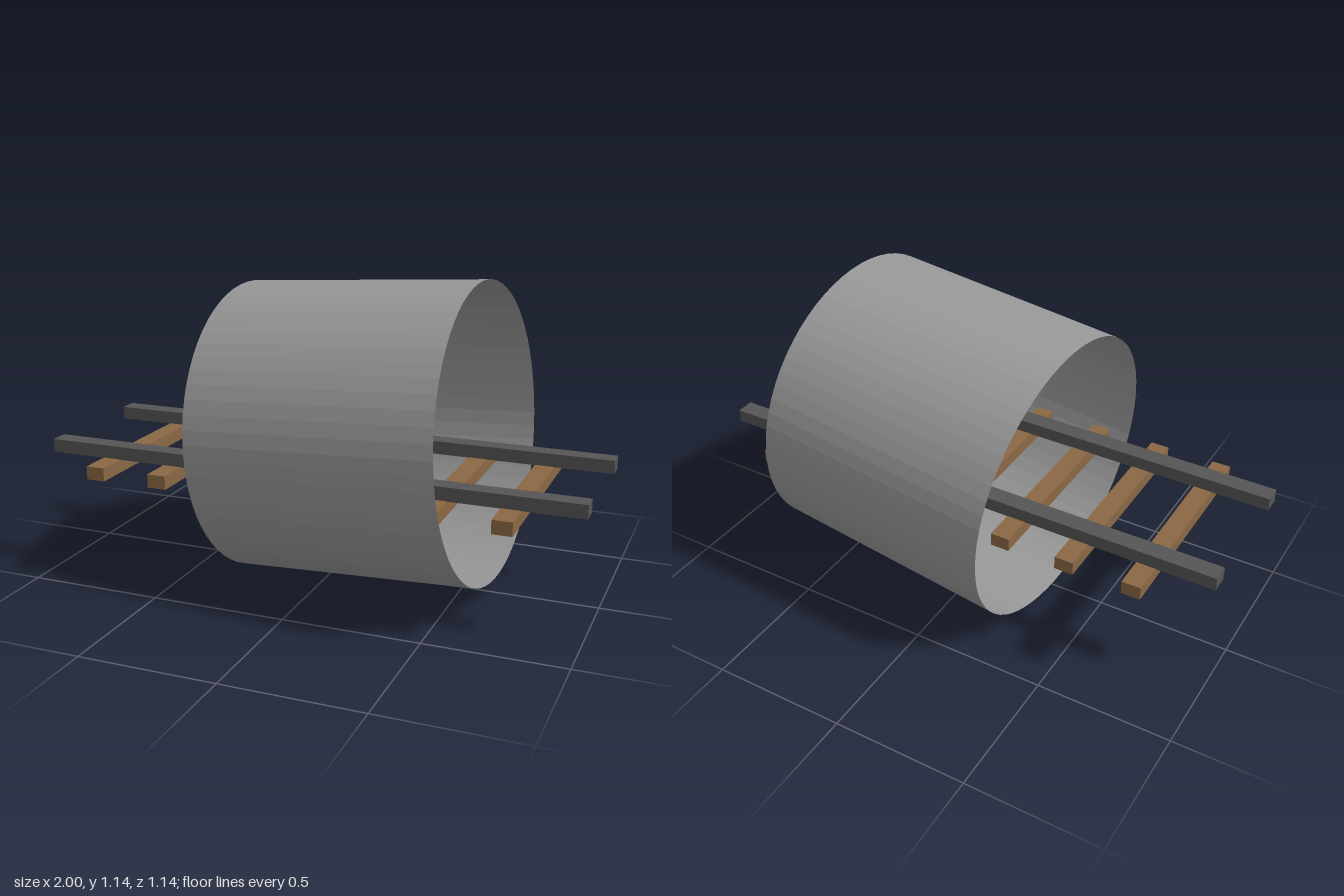
import * as THREE from 'three';

export function createModel() {
  const group = new THREE.Group();
  const tunnelGrey = new THREE.MeshStandardMaterial({ color: 0x999999, flatShading: true, side: THREE.DoubleSide });
  tunnelGrey.name = 'tunnelGrey';
  const railGrey = new THREE.MeshStandardMaterial({ color: 0x555555 });
  railGrey.name = 'railGrey';
  const sleeperBrown = new THREE.MeshStandardMaterial({ color: 0x8b6844 });
  sleeperBrown.name = 'sleeperBrown';

  const addBox = (name, size, position, material) => {
    const mesh = new THREE.Mesh(new THREE.BoxGeometry(...size), material);
    mesh.name = name;
    mesh.position.set(...position);
    group.add(mesh);
  };

  // Open, thin-walled tunnel, slightly askew to the track
  const axis = new THREE.Vector3(0.915, 0.067, 0.062);
  const shell = new THREE.CylinderGeometry(0.538, 0.538, axis.length(), 64, 1, true);
  shell.rotateZ(-Math.PI / 2);
  const tunnel = new THREE.Mesh(shell, tunnelGrey);
  tunnel.name = 'tunnel';
  tunnel.quaternion.setFromUnitVectors(new THREE.Vector3(1, 0, 0), axis.clone().normalize());
  tunnel.position.set(0.132, 0.571, 0);
  group.add(tunnel);

  // Two rails running along x
  const trackZ = 0.06;
  for (const side of [-1, 1]) {
    addBox(side > 0 ? 'frontRail' : 'backRail', [2, 0.049, 0.068], [0, 0.475, trackZ + side * 0.25], railGrey);
  }

  // Evenly spaced sleepers under the rails
  for (let i = -3; i <= 3; i++) {
    addBox('sleeper', [0.07, 0.049, 0.8], [i * 0.25, 0.427, trackZ], sleeperBrown);
  }
  return group;
}
